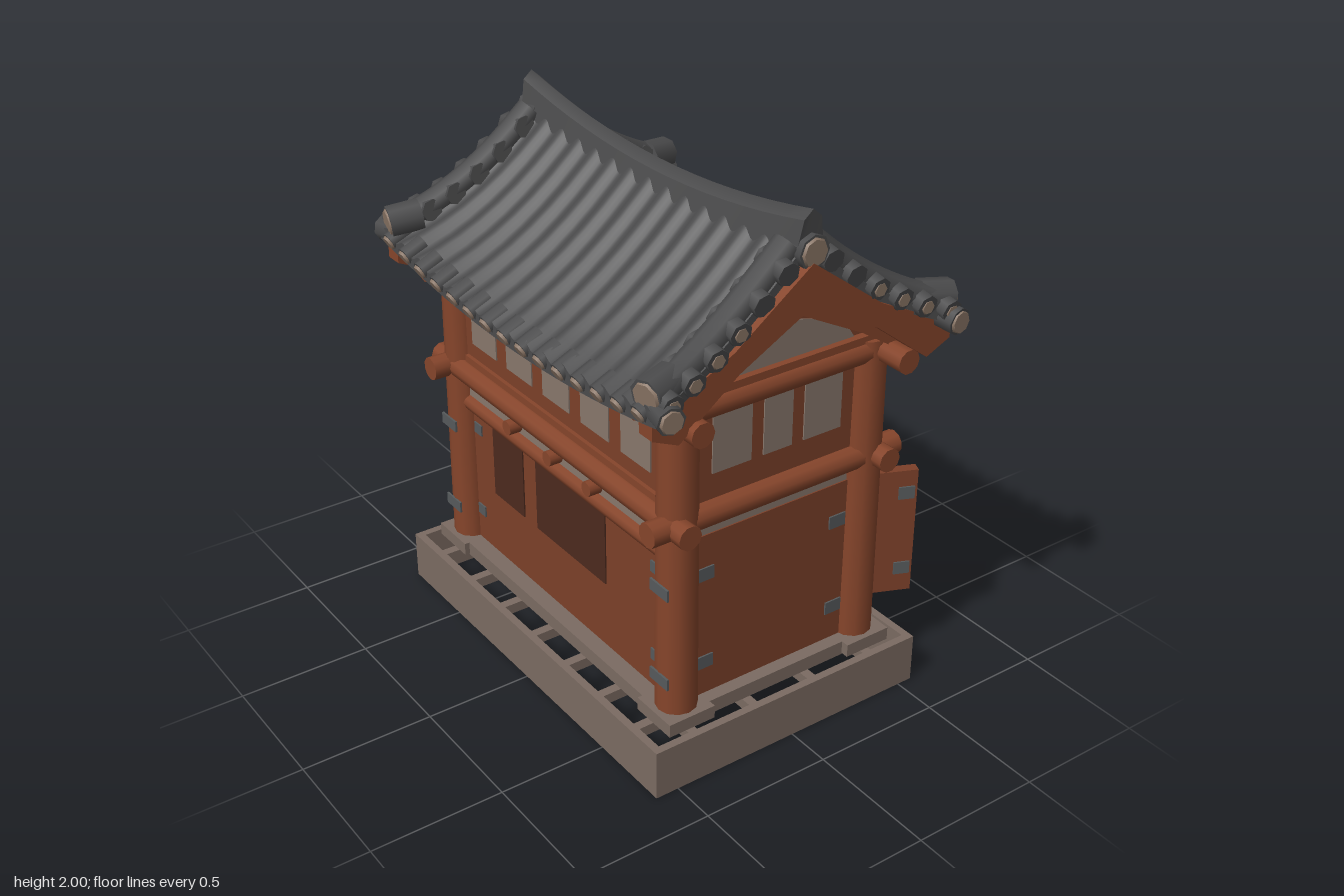
import * as THREE from 'three';

const mat = (name, color, side = THREE.FrontSide) => {
  const m = new THREE.MeshStandardMaterial({ color, side });
  m.name = name;
  return m;
};

export function createModel() {
  const wood = mat('wood', 0x86452b), panel = mat('panelWood', 0x7c4029);
  const dark = mat('darkPane', 0x4c2a1e), stone = mat('stone', 0x7b6b62);
  const paper = mat('paper', 0x88776c), tile = mat('roofTile', 0x4b4b4c);
  const cap = mat('tileCap', 0x8a7565), metal = mat('metal', 0x565a5c);
  const model = new THREE.Group();
  model.name = 'tiledHouse';
  const FZ = 0.405, BZ = -0.38, MZ = (FZ + BZ) / 2, PX = 0.685;

  const add = (name, geo, m, x = 0, y = 0, z = 0, parent = model) => {
    const mesh = new THREE.Mesh(geo, m);
    mesh.name = name;
    mesh.position.set(x, y, z);
    parent.add(mesh);
    return mesh;
  };
  // box given by its minimum and maximum corners
  const box = (name, m, x0, x1, y0, y1, z0, z1, parent) =>
    add(name, new THREE.BoxGeometry(x1 - x0, y1 - y0, z1 - z0), m,
      (x0 + x1) / 2, (y0 + y1) / 2, (z0 + z1) / 2, parent);
  // round log between two points
  const log = (name, m, a, b, r, r2 = r, sides = 10) => {
    const p = new THREE.Vector3(...a), q = new THREE.Vector3(...b), d = q.clone().sub(p);
    const mesh = add(name, new THREE.CylinderGeometry(r2, r, d.length(), sides), m);
    mesh.position.copy(p).add(q).multiplyScalar(0.5);
    mesh.quaternion.setFromUnitVectors(new THREE.Vector3(0, 1, 0), d.normalize());
    return mesh;
  };
  // outline in z and y, thickened along x
  const slice = (name, m, pts, x, depth) => {
    const g = new THREE.ExtrudeGeometry(new THREE.Shape(pts.map(p => new THREE.Vector2(...p))),
      { depth, bevelEnabled: false });
    g.rotateY(-Math.PI / 2);
    g.translate(depth / 2, 0, 0);
    return add(name, g, m, x);
  };
  const mirrorOutline = half => [...half, ...half.slice().reverse()
    .filter(p => p[0] !== 0).map(p => [-p[0], p[1]])];

  // stone base: open rim, joists across the gap, raised floor
  box('baseFront', stone, -0.83, 0.83, 0, 0.19, 0.56, 0.59);
  box('baseBack', stone, -0.83, 0.83, 0, 0.19, -0.56, -0.53);
  for (const s of [-1, 1]) box('baseSide', stone, s * 0.815 - 0.015, s * 0.815 + 0.015, 0, 0.19, -0.54, 0.57);
  for (let i = 0; i < 7; i++) {
    const x = -0.66 + i * 0.22;
    box('joist', stone, x - 0.018, x + 0.018, 0.14, 0.18, -0.54, 0.57);
  }
  for (let i = 0; i < 4; i++) {
    const z = -0.37 + i * 0.26;
    box('crossJoist', stone, -0.81, 0.81, 0.14, 0.18, z - 0.018, z + 0.018);
  }
  box('floor', stone, -0.75, 0.75, 0.18, 0.235, -0.45, 0.48);
  for (const x of [-PX, PX]) for (const z of [BZ, FZ])
    box('postFoot', stone, x - 0.095, x + 0.095, 0.185, 0.235, z - 0.095, z + 0.095);

  // corner posts and ring beams
  for (const x of [-PX, PX]) for (const z of [BZ, FZ])
    log('cornerPost', wood, [x, 0.23, z], [x, 1.42, z], 0.075, 0.07, 12);
  for (const [n, y, r, e] of [['ringBeam', 0.97, 0.045, 0.8], ['eaveBeam', 1.375, 0.045, 0.86]]) {
    for (const z of [FZ + 0.03, BZ - 0.03]) log(n, wood, [-e, y, z], [e, y, z], r);
    for (const x of [-PX - 0.02, PX + 0.02]) log(n, wood, [x, y, -0.51], [x, y, 0.54], r);
  }

  // long walls: upper storey with windows, paper band, lintel and joist ends
  for (const [z, s] of [[FZ, 1], [BZ, -1]]) {
    const f = z + s * 0.02;
    box('upperWall', panel, -0.65, 0.65, 0.95, 1.42, z - 0.02, z + 0.02);
    box('windowSill', wood, -0.61, 0.61, 1.01, 1.04, f - 0.015, f + 0.015);
    for (let i = 0; i < 5; i++) {
      const x = -0.485 + i * 0.242;
      box('window', paper, x - 0.085, x + 0.085, 1.1, 1.32, f - 0.003, f + 0.005);
    }
    box('paperBand', paper, -0.62, 0.62, 0.855, 0.94, z - 0.02, z + 0.02);
    log('lintel', wood, [-0.64, 0.83, z + s * 0.01], [0.64, 0.83, z + s * 0.01], 0.034);
    for (const x of [-0.27, 0, 0.25]) log('joistEnd', wood, [x, 0.895, z], [x, 0.895, z + s * 0.07], 0.028);
  }
  box('frontWall', panel, -0.64, 0.64, 0.23, 0.82, FZ - 0.03, FZ + 0.01);
  box('smallDarkPane', dark, -0.47, -0.26, 0.5, 0.8, FZ + 0.008, FZ + 0.015);
  box('wideDarkPane', dark, -0.17, 0.28, 0.5, 0.8, FZ + 0.008, FZ + 0.015);

  // short walls with three windows
  for (const s of [-1, 1]) {
    const x = s * 0.68, f = x + s * 0.02;
    box('sideWall', panel, x - 0.02, x + 0.02, 0.23, 0.88, BZ, FZ);
    box('sidePaperBand', paper, x - 0.015, x + 0.015, 0.87, 0.94, BZ, FZ);
    box('sideUpperWall', panel, x - 0.02, x + 0.02, 0.93, 1.45, BZ, FZ);
    for (const [a, b] of [[0.12, 0.28], [-0.05, 0.07], [-0.26, -0.1]])
      box('sideWindow', paper, f - 0.003, f + 0.005, 1.11, 1.32, a, b);
    // gable
    slice('gableWall', panel, mirrorOutline([[0, 1.8], [0.3, 1.6], [0.46, 1.48], [0.46, 1.4]]), x, 0.04);
    slice('gablePaper', paper, mirrorOutline([[0, 1.585], [0.14, 1.55], [0.28, 1.47], [0.3, 1.44]]), f, 0.01);
    box('gableTie', wood, f - 0.02, f + 0.03, 1.395, 1.44, -0.4, 0.42);
    slice('bargeboard', wood, mirrorOutline(
      [[0, 1.83], [0.3, 1.61], [0.61, 1.46], [0.61, 1.4], [0.51, 1.355], [0.28, 1.53], [0, 1.68]]), s * 0.8, 0.07);
    slice('innerBargeboard', wood, mirrorOutline(
      [[0, 1.72], [0.3, 1.55], [0.48, 1.43], [0.44, 1.38], [0.27, 1.49], [0, 1.63]]), s * 0.745, 0.06);
    // hinge straps
    for (const y of [0.37, 0.73]) {
      box('frontHinge', metal, s * 0.69 - 0.05, s * 0.69 + 0.05, y - 0.022, y + 0.022, FZ + 0.071, FZ + 0.079);
      box('innerHinge', metal, s * 0.58 - 0.025, s * 0.58 + 0.025, y - 0.022, y + 0.022, FZ + 0.008, FZ + 0.016);
      for (const z of [0.3, -0.27]) box('sideHinge', metal, f - 0.002, f + 0.006, y - 0.025, y + 0.025, z - 0.035, z + 0.035);
    }
  }
  // purlins joining the gables
  for (const [y, z] of [[1.73, 0], [1.41, 0.5], [1.41, -0.5]]) log('purlin', wood, [-0.82, y, z], [0.82, y, z], 0.04);

  // back: middle post and two doors swung outwards
  log('middlePost', wood, [0, 0.23, BZ], [0, 0.82, BZ], 0.04);
  for (const [hx, tx, tz] of [[0.6, 0.7, -0.64], [-0.65, -0.815, -0.58]]) {
    const door = new THREE.Group(), hz = -0.41, w = Math.hypot(tx - hx, tz - hz);
    door.name = 'backDoor';
    door.position.set(hx, 0, hz);
    door.rotation.y = Math.atan2(hz - tz, tx - hx);
    box('doorBoard', panel, 0, w, 0.31, 0.82, -0.02, 0.02, door);
    for (const y of [0.41, 0.73]) for (const z of [-0.022, 0.022])
      for (const a of [0.01, w - 0.07]) box('doorHinge', metal, a, a + 0.06, y - 0.025, y + 0.025, z - 0.004, z + 0.004, door);
    model.add(door);
  }

  // furnishing seen through the open back
  box('bench', wood, -0.52, 0.52, 0.23, 0.48, -0.26, 0.15);
  add('benchCover', new THREE.BoxGeometry(0.98, 0.05, 0.36), tile, 0, 0.53, -0.08).rotation.x = -0.3;
  box('benchBack', paper, -0.5, 0.5, 0.48, 0.64, 0.12, 0.17);
  for (const x of [-0.48, -0.14, 0.16, 0.48]) box('coverEdge', cap, x - 0.04, x + 0.04, 0.5, 0.57, -0.27, -0.1);
  box('ceiling', panel, -0.66, 0.66, 0.94, 0.97, BZ, FZ);

  // sagging roof surface, raised towards the corners
  const EZ = 0.62;
  const halfWidth = z => 0.8 + 0.07 * (z / EZ) ** 2;
  const roofY = (x, z) => {
    const t = Math.abs(z) / EZ;
    return 1.87 - 0.63 * t + 0.2 * t * t + 0.075 * (x / 0.85) ** 2 * (0.5 + 0.5 * t);
  };
  const RIBS = 15, PITCH = 2 / RIBS;
  for (const s of [-1, 1]) {
    const g = new THREE.BoxGeometry(2, 0.055, EZ, RIBS * 8, 1, 8), p = g.attributes.position;
    for (let i = 0; i < p.count; i++) {
      const u = p.getX(i), z = p.getZ(i) + s * EZ / 2, x = u * halfWidth(z), top = p.getY(i) > 0;
      const rib = top ? 0.014 * Math.cos((u / PITCH) * Math.PI * 2) : -0.055;
      p.setXYZ(i, x, roofY(x, z) + rib, z);
    }
    g.computeVertexNormals();
    add('roofSlope', g, tile);

    // eave tile ends with caps, and rafters beneath
    for (let i = -7; i <= 7; i++) {
      const x = i * PITCH * halfWidth(EZ) * 0.97, y = roofY(x, EZ) - 0.02;
      log('eaveTile', tile, [x, y + 0.03, s * 0.55], [x, y - 0.005, s * 0.628], 0.036, 0.036, 8);
      log('eaveCap', cap, [x, y - 0.005, s * 0.626], [x, y - 0.01, s * 0.635], 0.03, 0.026, 7);
      if (Math.abs(i) < 7) log('rafter', wood, [x, roofY(x, 0.35) - 0.1, s * 0.35], [x, roofY(x, 0.58) - 0.085, s * 0.58], 0.03, 0.03, 7);
    }
    for (const e of [-1, 1]) {
      // verge roll following the roof edge
      const pts = [0.04, 0.16, 0.3, 0.45, 0.58].map(z => {
        const x = halfWidth(z) - 0.05;
        return new THREE.Vector3(e * x, roofY(x, z) + 0.015, s * z);
      });
      add('vergeRoll', new THREE.TubeGeometry(new THREE.CatmullRomCurve3(pts), 12, 0.05, 8), tile);
      // side tile ends
      for (let k = 0; k < 6; k++) {
        const z = 0.09 + k * 0.095, x = halfWidth(z), y = roofY(x, z) - 0.01;
        log('vergeTile', tile, [e * (x - 0.1), y + 0.02, s * z], [e * (x + 0.025), y, s * z], 0.042, 0.042, 7);
        if (k > 1) log('vergeCap', cap, [e * (x + 0.023), y, s * z], [e * (x + 0.03), y, s * z], 0.027, 0.024, 6);
      }
      // corner tile with large caps
      log('cornerTile', tile, [e * 0.78, 1.56, s * 0.5], [e * 0.81, 1.545, s * 0.615], 0.062, 0.062, 8);
      log('cornerCap', cap, [e * 0.81, 1.545, s * 0.613], [e * 0.812, 1.544, s * 0.622], 0.054, 0.048, 8);
      log('cornerSideTile', tile, [e * 0.8, 1.5, s * 0.57], [e * 0.9, 1.49, s * 0.585], 0.05, 0.05, 8);
      log('cornerSideCap', cap, [e * 0.9, 1.49, s * 0.585], [e * 0.91, 1.49, s * 0.586], 0.042, 0.038, 8);
    }
  }

  // ridge rising to both ends
  const ridge = new THREE.BoxGeometry(1.62, 1, 1, 16, 1, 2), rp = ridge.attributes.position;
  for (let i = 0; i < rp.count; i++) {
    const x = rp.getX(i), top = rp.getY(i) > 0, k = rp.getZ(i) * 2;
    const y = top ? 1.91 + 0.09 * (x / 0.81) ** 2 - 0.03 * Math.abs(k) : 1.78 + 0.03 * x * x;
    rp.setXYZ(i, top ? x : x * 0.98, y, -0.01 + k * (top ? 0.035 : 0.065));
  }
  ridge.computeVertexNormals();
  add('ridge', ridge, tile);
  for (const e of [-1, 1]) {
    log('ridgeEndTile', tile, [e * 0.72, 1.86, -0.01], [e * 0.825, 1.86, -0.01], 0.06, 0.06, 8);
    log('ridgeEndCap', cap, [e * 0.824, 1.86, -0.01], [e * 0.833, 1.86, -0.01], 0.052, 0.046, 8);
  }
  return model;
}
